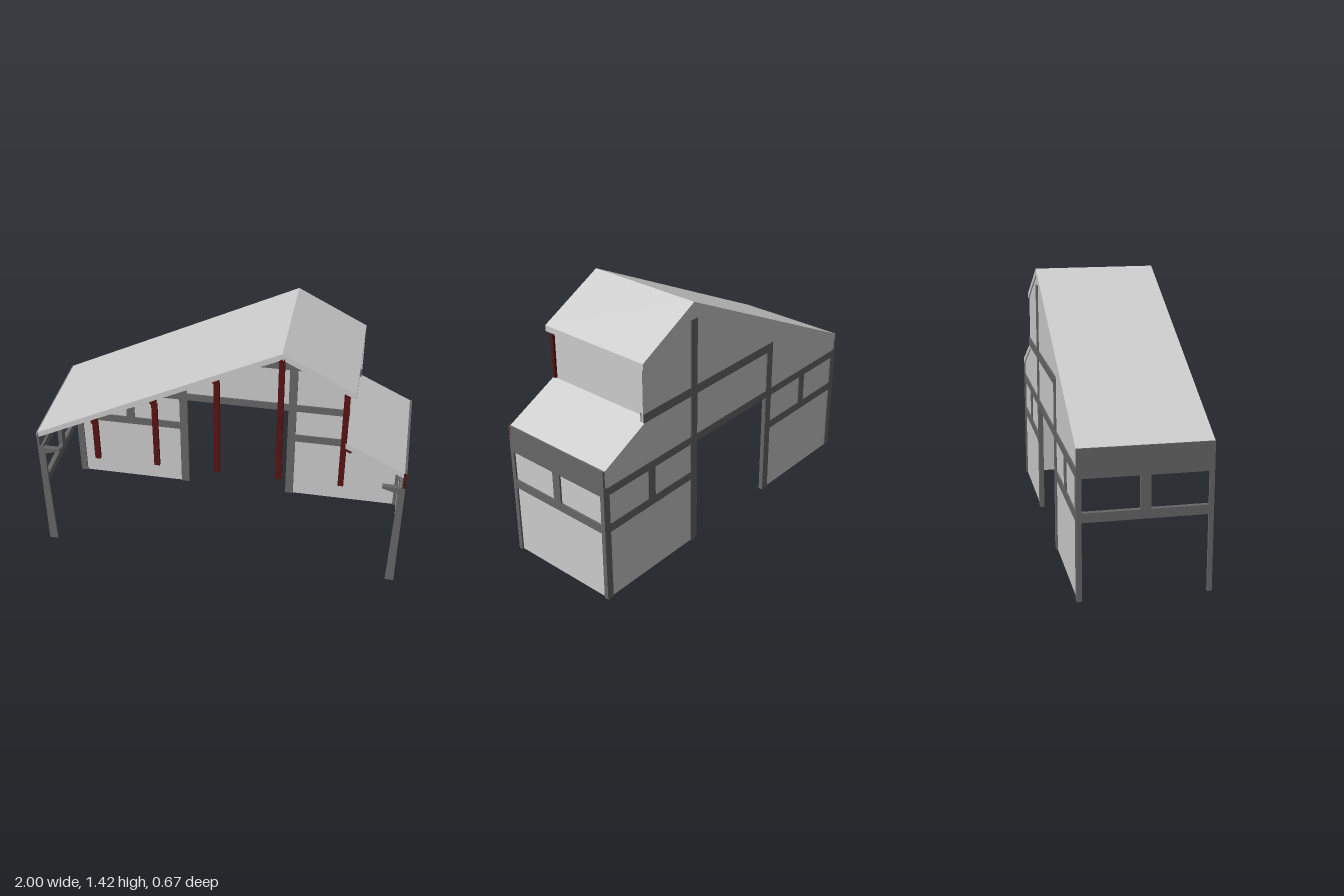
import * as THREE from 'three';

const light = new THREE.MeshStandardMaterial({ color: 0xcccccc, side: THREE.DoubleSide });
const dark = new THREE.MeshStandardMaterial({ color: 0x666666 });
const red = new THREE.MeshStandardMaterial({ color: 0x581212 });

export function createModel() {
  const group = new THREE.Group();

  const add = (name, geometry, material) => {
    const mesh = new THREE.Mesh(geometry, material);
    mesh.name = name;
    group.add(mesh);
    return mesh;
  };
  // Box given by its lower and upper limits on each axis
  const box = (name, [x0, x1], [y0, y1], [z0, z1], material) => {
    const mesh = add(name, new THREE.BoxGeometry(x1 - x0, y1 - y0, z1 - z0), material);
    mesh.position.set((x0 + x1) / 2, (y0 + y1) / 2, (z0 + z1) / 2);
    return mesh;
  };
  // Outline in x and y, extruded between two z positions
  const prism = (name, points, [z0, z1], material) => {
    const shape = new THREE.Shape(points.map(([x, y]) => new THREE.Vector2(x, y)));
    const geometry = new THREE.ExtrudeGeometry(shape, { depth: z1 - z0, bevelEnabled: false });
    geometry.translate(0, 0, z0);
    return add(name, geometry, material);
  };
  const span = (a, b, s) => (s > 0 ? [a, b] : [-b, -a]);

  const full = [-0.335, 0.335];
  const backFrame = [-0.335, -0.31];

  // Back wall panel with the doorway cut out
  prism('backWall', [
    [-0.99, 0], [-0.32, 0], [-0.32, 0.64], [0.32, 0.64], [0.32, 0], [0.99, 0],
    [0.99, 0.745], [0.705, 0.885], [0.705, 1.21], [0.33, 1.4], [-0.99, 0.75],
  ], [-0.328, -0.317], light);

  // Back wall timber frame
  box('backTopBeam', [-1, 1], [0.62, 0.665], backFrame, dark);
  box('backUpperBeam', [-0.35, 0.705], [0.905, 0.955], backFrame, dark);
  box('backRightDoorPost', [-0.35, -0.302], [0, 0.955], backFrame, dark);
  box('backLeftDoorPost', [0.302, 0.35], [0, 1.33], backFrame, dark);
  for (const s of [1, -1]) {
    box('backSillBeam', span(0.33, 0.98, s), [0.402, 0.45], backFrame, dark);
    box('backWindowPost', span(0.63, 0.68, s), [0.45, 0.62], backFrame, dark);
    box('backCornerPost', span(0.96, 1, s), [0, 0.665], backFrame, dark);
  }

  // Side frames, front corner posts and the stubs of the front beams
  for (const s of [1, -1]) {
    const x = span(0.975, 1, s);
    box('sideTopBeam', x, [0.62, 0.67], full, dark);
    box('sideSillBeam', x, [0.402, 0.45], full, dark);
    box('sideWindowPost', x, [0.45, 0.62], [-0.025, 0.025], dark);
    box('sideFascia', span(0.988, 1, s), [0.665, 0.768], full, dark);
    box('frontCornerPostSide', span(0.985, 1, s), [0, 0.67], [0.311, 0.335], dark);
    prism('frontCornerPostFace',
      [[s, 0], [s * 0.952, 0], [s * 0.962, 0.45], [s * 0.962, 0.665], [s, 0.665]],
      [0.322, 0.335], dark);
    prism('frontBeamStub',
      [[s * 0.97, 0.625], [s * 0.95, 0.63], [s * 0.88, 0.652], [s * 0.88, 0.665], [s * 0.97, 0.665]],
      [0.31, 0.335], dark);
  }

  // Left side wall panel and the wall above the lower roof
  box('leftWall', [0.98, 0.99], [0, 0.64], [-0.32, 0.32], light);
  box('upperLeftWall', [0.652, 0.662], [0.86, 1.22], [-0.32, 0.32], light);

  // Roof slabs
  const t = 0.033;
  prism('mainRoof', [
    [-0.998, 0.766], [-0.998, 0.766 - t], [0.33, 1.42 - t],
    [0.706, 1.228 - t], [0.706, 1.228], [0.33, 1.422],
  ], full, light);
  prism('lowerRoof', [
    [0.672, 0.92 - t], [0.995, 0.762 - t], [0.995, 0.762], [0.672, 0.92],
  ], full, light);

  // Hanging posts at the front
  const posts = [[-0.66, 0.88], [-0.33, 1.04], [0, 1.215], [0.33, 1.392], [0.662, 1.215]];
  for (const [x, top] of posts) {
    box('frontHangingPost', [x - 0.015, x + 0.015], [0.635, top], [0.318, 0.335], red);
  }
  box('eaveEnd', [0.984, 1], [0.668, 0.765], [0.325, 0.337], red);

  // Purlins under the roof slopes
  const slope = Math.atan(0.49);
  const purlins = [
    [-0.668, 0.879, 1], [-0.338, 1.045, 1], [-0.005, 1.212, 1], [0.664, 1.211, -1], [0.69, 0.869, -1],
  ];
  for (const [x, y, s] of purlins) {
    const purlin = box('purlin', [x - 0.016, x + 0.016], [y - 0.007, y + 0.007], [-0.317, 0.333], red);
    purlin.rotation.z = s * slope;
  }

  return group;
}
